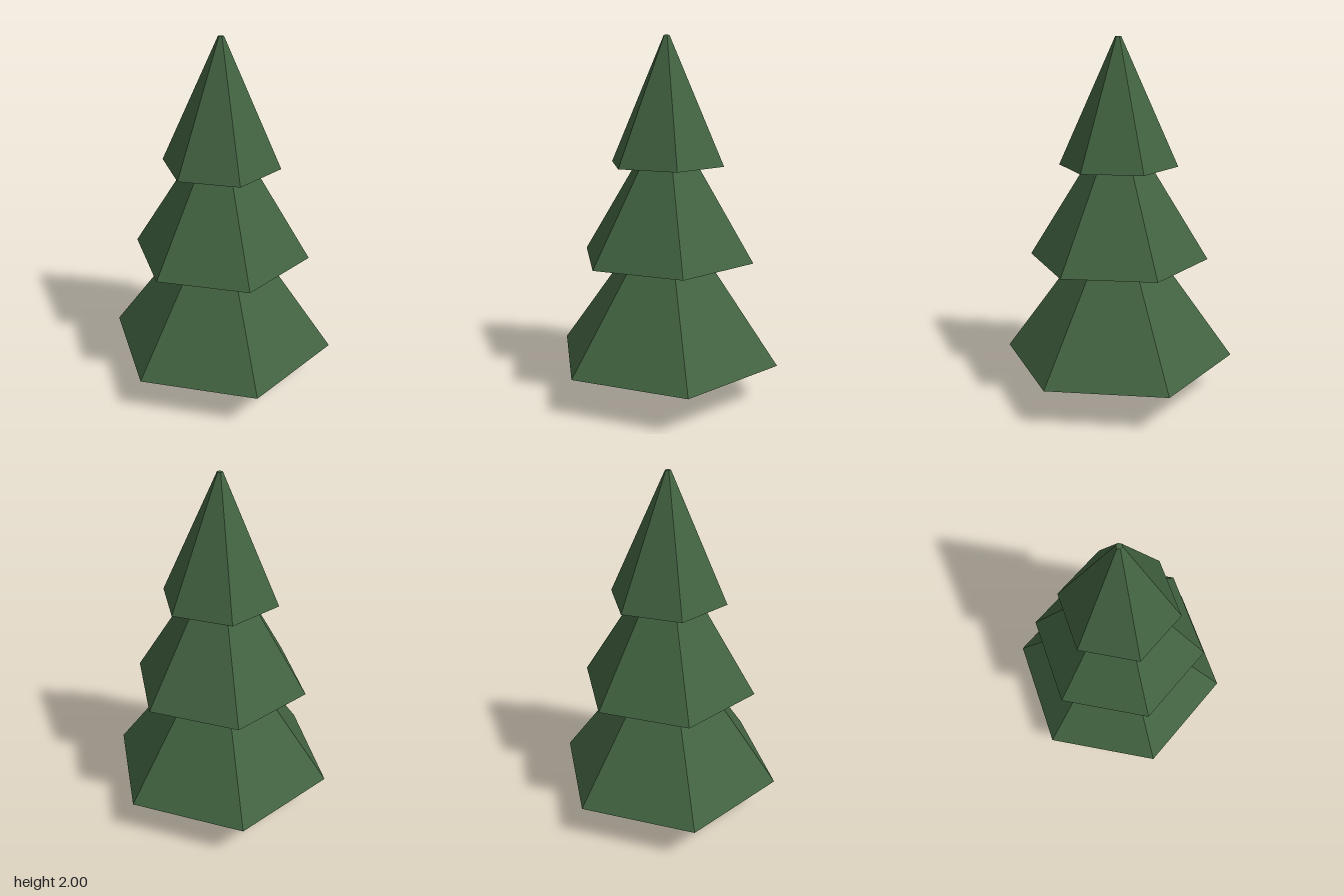
import * as THREE from 'three';

const SIDES = 6;

export function createModel() {
  const tree = new THREE.Group();
  tree.name = 'pineTree';

  const needles = new THREE.MeshStandardMaterial({ color: 0x426341, flatShading: true });
  needles.name = 'needle green';
  const bark = new THREE.MeshStandardMaterial({ color: 0x6b5240, flatShading: true });
  bark.name = 'bark brown';

  // Six-sided frustum between two heights, with corners on the x axis
  function frustum(name, material, y0, y1, r0, r1) {
    const geometry = new THREE.CylinderGeometry(r1, r0, y1 - y0, SIDES, 1, false, Math.PI / 6);
    geometry.translate(0, (y0 + y1) / 2, 0);
    const mesh = new THREE.Mesh(geometry, material);
    mesh.name = name;
    tree.add(mesh);
  }

  frustum('trunk', bark, 0, 0.23, 0.113, 0.113);

  // Each tier's narrow top is tucked inside the tier above
  frustum('lowerBranches', needles, 0.22, 0.85, 0.65, 0.195);
  frustum('middleBranches', needles, 0.79, 1.4, 0.502, 0.125);
  frustum('upperBranches', needles, 1.31, 2, 0.329, 0.016);

  return tree;
}
